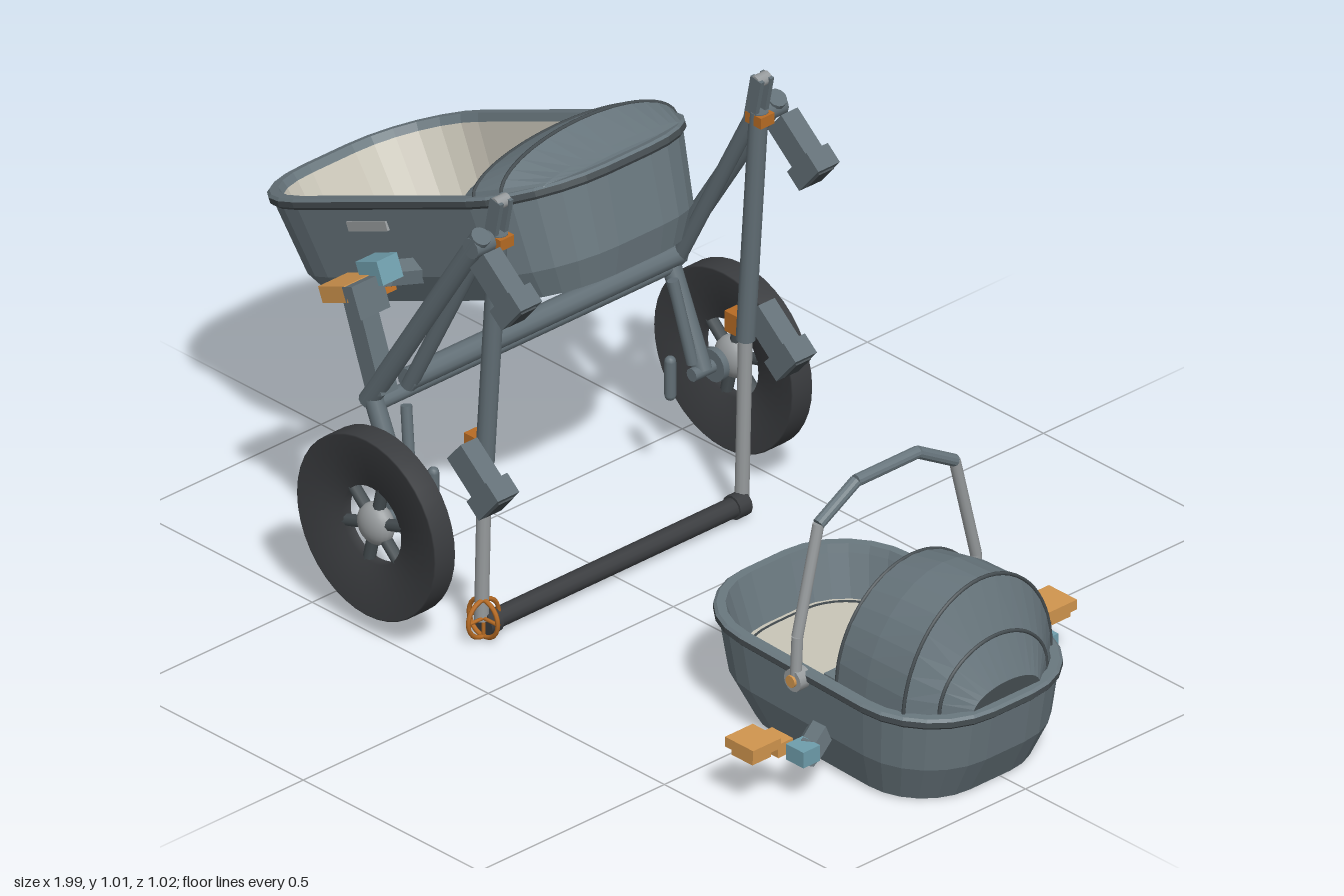
import * as THREE from 'three';

const mat = (name, color, extra = {}) => Object.assign(new THREE.MeshStandardMaterial({ color, ...extra }), { name });
const V = (x, y, z) => new THREE.Vector3(x, y, z);

export function createModel() {
  const flat = { flatShading: true };
  const slate = mat('slate fabric', 0x69777e, flat);
  const hoodMat = mat('hood slate', 0x68767d, { flatShading: true, side: THREE.DoubleSide });
  const frame = mat('frame slate', 0x626f76);
  const dark = mat('dark trim', 0x464e52);
  const cream = mat('cream lining', 0xc8c4b7, flat);
  const rubber = mat('rubber', 0x3a3c3f);
  const metal = mat('grey metal', 0x989c9e);
  const orange = mat('orange fittings', 0xd1954e);
  const copper = mat('copper fittings', 0xb86c24);
  const teal = mat('teal clips', 0x6f9eac);

  const model = new THREE.Group();
  model.name = 'stroller with carrier';

  const add = (parent, geo, material, name) => {
    const m = new THREE.Mesh(geo, material);
    m.name = name;
    parent.add(m);
    return m;
  };
  const rod = (parent, a, b, r, material, name, sides = 12) => {
    const d = b.clone().sub(a);
    const m = add(parent, new THREE.CylinderGeometry(r, r, d.length(), sides), material, name);
    m.position.copy(a).addScaledVector(d, 0.5);
    m.quaternion.setFromUnitVectors(V(0, 1, 0), d.normalize());
    return m;
  };
  const box = (parent, size, pos, material, name, rz = 0) => {
    const m = add(parent, new THREE.BoxGeometry(...size), material, name);
    m.position.set(...pos);
    m.rotation.z = rz;
    return m;
  };
  const surface = (tris) => {
    const g = new THREE.BufferGeometry().setFromPoints(tris);
    g.computeVertexNormals();
    return g;
  };

  // Rounded-rectangle outline, counterclockwise from above
  const outline = ([x0, x1, hz, r, y]) => {
    const pts = [];
    for (let c = 0; c < 4; c++) {
      const cx = c === 0 || c === 3 ? x1 - r : x0 + r, cz = c < 2 ? -(hz - r) : hz - r;
      for (let k = 0; k <= 6; k++) {
        const a = (c + k / 6) * Math.PI / 2;
        pts.push(V(cx + r * Math.cos(a), y, cz - r * Math.sin(a)));
      }
    }
    return pts;
  };
  // Skin between outlines, optionally closing the first (downward) or last (upward)
  const shell = (rings, capFirst, capLast) => {
    const R = rings.map(outline), t = [], n = R[0].length;
    for (let i = 0; i < R.length - 1; i++) for (let j = 0; j < n; j++) {
      const k = (j + 1) % n, a = R[i][j], b = R[i][k], c = R[i + 1][k], d = R[i + 1][j];
      t.push(a, b, c, a, c, d);
    }
    const last = R[R.length - 1];
    for (let j = 1; j < n - 1; j++) {
      if (capFirst) t.push(R[0][0], R[0][j + 1], R[0][j]);
      if (capLast) t.push(last[0], last[j], last[j + 1]);
    }
    return surface(t);
  };
  // Bassinet tub: rings are [x0, x1, halfWidth, cornerRadius, y]
  const tub = (parent, bottom, knee, rim, floor, wallMat) => {
    const inset = ([x0, x1, h, r, y], d, dy) => [x0 + d, x1 - d, h - d, r - d, y + dy];
    const lip = inset(rim, 0.024, -0.012);
    add(parent, shell([bottom, knee, rim], true), slate, 'shell');
    add(parent, shell([inset(rim, 0, -0.018), inset(rim, -0.006, -0.012), inset(rim, -0.006, 0)]), dark, 'rim edge');
    add(parent, shell([inset(rim, -0.006, 0), inset(rim, 0, 0.005), inset(rim, 0.018, 0.005), lip]), slate, 'rim');
    add(parent, shell([lip, floor]), wallMat, 'inner wall');
    add(parent, shell([floor], false, true), cream, 'mattress');
    const seam = new THREE.CatmullRomCurve3(outline(inset(floor, 0.012, 0.001)), true);
    add(parent, new THREE.TubeGeometry(seam, 80, 0.003, 4, true), dark, 'mattress seam');
  };

  // Hood: half-ellipse arches given as [x, baseY, halfWidth, height]
  const arch = ([x, y, hw, h]) => Array.from({ length: 17 }, (_, i) => {
    const a = i / 16 * Math.PI;
    return V(x, y + h * Math.sin(a), hw * Math.cos(a));
  });
  const hood = (parent, sections, trims, capMat) => {
    const R = sections.map(arch), t = [], cap = [];
    for (let i = 0; i < R.length - 1; i++) for (let j = 0; j < 16; j++) {
      const a = R[i][j], b = R[i + 1][j], c = R[i + 1][j + 1], d = R[i][j + 1];
      t.push(a, b, c, a, c, d);
    }
    const e = R[R.length - 1];
    for (let j = 1; j < 16; j++) cap.push(e[0], e[j + 1], e[j]);
    add(parent, surface(t), hoodMat, 'hood fabric');
    add(parent, surface(cap), capMat, 'hood back');
    for (const i of trims) add(parent, new THREE.TubeGeometry(new THREE.CatmullRomCurve3(R[i]), 32, 0.004, 6), dark, 'hood rib');
  };

  // Large tilted bassinet
  const large = new THREE.Group();
  large.name = 'large bassinet';
  large.position.set(-0.99, 0.608, 0);
  large.rotation.z = 0.391;
  model.add(large);
  tub(large, [0.08, 0.87, 0.21, 0.15, -0.225], [0.035, 0.905, 0.24, 0.18, -0.165], [0, 0.93, 0.258, 0.2, 0],
    [0.06, 0.88, 0.216, 0.16, -0.165], cream);
  hood(large, [[0.71, 0, 0.246, 0.035], [0.74, 0, 0.248, 0.064], [0.812, 0, 0.236, 0.076], [0.885, 0, 0.19, 0.02],
    [0.902, 0, 0.15, 0.008]], [1, 2], hoodMat);
  for (const s of [1, -1]) {
    box(large, [0.12, 0.02, 0.009], [0.4, -0.053, s * 0.253], metal, 'side grip');
    box(large, [0.08, 0.012, 0.008], [0.5, -0.02, s * 0.232], dark, 'hinge strip');
  }

  // Small carrier
  const small = new THREE.Group();
  small.name = 'small carrier';
  small.position.set(0.286, 0.232, 0.027);
  small.rotation.z = -0.037;
  model.add(small);
  tub(small, [0.1, 0.65, 0.195, 0.14, -0.205], [0.03, 0.69, 0.222, 0.17, -0.12], [0, 0.705, 0.232, 0.18, 0],
    [0.055, 0.66, 0.188, 0.14, -0.1], slate);
  hood(small, [[0.412, -0.01, 0.195, 0.213], [0.5, -0.01, 0.202, 0.235], [0.605, -0.01, 0.2, 0.245],
    [0.65, 0, 0.145, 0.125], [0.69, 0, 0.09, 0.04]], [0, 2, 3], dark);
  box(small, [0.06, 0.008, 0.36], [0.39, -0.025, 0], slate, 'hood apron');
  box(small, [0.04, 0.05, 0.05], [0.3, -0.065, 0], orange, 'harness buckle');
  for (const s of [1, -1]) rod(small, V(0.3, -0.05, s * 0.015), V(0.38, 0.0, s * 0.055), 0.01, orange, 'harness strap', 6);

  // Carrying handle
  const P = (y, z) => V(0.634, y, 0.027 + z);
  for (const s of [1, -1]) {
    rod(model, P(0.2, s * 0.246), P(0.3, s * 0.241), 0.012, metal, 'handle side');
    rod(model, P(0.3, s * 0.241), P(0.53, s * 0.184), 0.012, metal, 'handle side');
    rod(model, P(0.53, s * 0.184), P(0.588, s * 0.083), 0.013, slate, 'handle shoulder');
    rod(model, P(0.205, s * 0.225), P(0.205, s * 0.255), 0.024, metal, 'handle pivot');
    rod(model, P(0.205, s * 0.255), P(0.205, s * 0.261), 0.013, orange, 'pivot cap');
  }
  rod(model, P(0.588, -0.083), P(0.588, 0.083), 0.013, slate, 'handle grip');

  for (const s of [1, -1]) {
    // Carrier clips
    const z = (d) => 0.027 + s * d;
    rod(model, V(0.66, 0.085, z(0.2)), V(0.735, 0.105, z(0.31)), 0.03, slate, 'carrier clip arm', 6);
    box(model, [0.05, 0.035, 0.045], [0.735, 0.112, z(0.322)], teal, 'carrier clip');
    box(model, [0.06, 0.03, 0.04], [0.68, 0.12, z(0.345)], orange, 'carrier latch');
    box(model, [0.08, 0.022, 0.075], [0.675, 0.14, z(0.4)], orange, 'carrier tab');
    box(model, [0.06, 0.02, 0.05], [0.675, 0.122, z(0.405)], orange, 'carrier tab base');

    // Bassinet mounts
    rod(model, V(-0.49, 0.64, s * 0.21), V(-0.475, 0.685, s * 0.33), 0.03, slate, 'bassinet arm', 6);
    box(model, [0.065, 0.05, 0.055], [-0.475, 0.70, s * 0.342], teal, 'bassinet clip', 0.39);
    box(model, [0.06, 0.03, 0.035], [-0.5, 0.645, s * 0.32], copper, 'bassinet latch', 0.39);
    box(model, [0.08, 0.035, 0.08], [-0.508, 0.665, s * 0.395], orange, 'bassinet tab', 0.39);
    box(model, [0.03, 0.07, 0.08], [-0.457, 0.665, s * 0.395], frame, 'tab bracket', 0.39);
    box(model, [0.045, 0.2, 0.045], [-0.45, 0.56, s * 0.39], frame, 'mount post', 0.35);

    // Frame legs
    const p = (x, y, d) => V(x, y, s * d);
    rod(model, p(-0.125, 0.94, 0.4), p(-0.445, 0.44, 0.4), 0.021, frame, 'rear leg');
    rod(model, p(-0.15, 0.91, 0.362), p(-0.37, 0.49, 0.362), 0.016, frame, 'folding strut');
    rod(model, p(-0.127, 0.93, 0.352), p(-0.165, 0.4, 0.352), 0.02, frame, 'front leg');
    rod(model, p(-0.165, 0.42, 0.352), p(-0.175, 0.04, 0.352), 0.015, metal, 'telescopic leg');
    for (const d of [-1, 1]) box(model, [0.03, 0.11, 0.01], [-0.128, 0.955, s * 0.352 + d * 0.013], frame, 'fork prong', -0.2);
    rod(model, p(-0.121, 1.0, 0.335), p(-0.121, 1.0, 0.369), 0.014, metal, 'fork pin');
    box(model, [0.045, 0.024, 0.037], [-0.124, 0.915, s * 0.352], copper, 'fold latch');
    rod(model, p(-0.135, 0.915, 0.36), p(-0.135, 0.915, 0.42), 0.022, frame, 'top joint');

    // Accessory sockets
    for (const [x, y] of [[-0.055, 0.85], [-0.12, 0.395]]) {
      const g = new THREE.Group();
      g.name = 'accessory socket';
      g.position.set(x, y, s * 0.402);
      g.rotation.z = -0.7;
      model.add(g);
      box(g, [0.11, 0.06, 0.045], [-0.02, 0, 0], frame, 'socket body');
      box(g, [0.045, 0.085, 0.058], [0.04, 0, 0], frame, 'socket collar');
      box(g, [0.006, 0.055, 0.04], [0.063, 0, 0], dark, 'socket opening');
    }
    box(model, [0.04, 0.045, 0.034], [-0.187, 0.43, s * 0.352], copper, 'leg lock');

    // Wheel suspension
    rod(model, p(-0.435, 0.46, 0.4), p(-0.337, 0.24, 0.4), 0.02, frame, 'wheel arm');
    rod(model, p(-0.38, 0.44, 0.36), p(-0.345, 0.26, 0.38), 0.012, frame, 'damper');
    rod(model, p(-0.337, 0.24, 0.37), p(-0.337, 0.24, 0.5), 0.014, frame, 'axle stub');
    rod(model, p(-0.337, 0.24, 0.425), p(-0.337, 0.24, 0.44), 0.035, frame, 'brake disc', 16);
    const capsule = add(model, new THREE.CapsuleGeometry(0.012, 0.075, 4, 10), frame, 'brake housing');
    capsule.position.set(-0.345, 0.25, s * 0.32);

    // Wheel: square-edged disc, dished towards the hub
    const wheel = new THREE.Group();
    wheel.name = 'wheel';
    wheel.position.set(-0.337, 0.24, s * 0.4825);
    model.add(wheel);
    const prof = [[0.084, -0.012], [0.194, -0.028], [0.197, -0.026], [0.197, 0.026], [0.194, 0.028], [0.084, 0.012], [0.084, -0.012]];
    add(wheel, new THREE.LatheGeometry(prof.map(([r, y]) => new THREE.Vector2(r, y)), 40), rubber, 'tyre').rotation.x = Math.PI / 2;
    for (let i = 0; i < 6; i++) {
      const a = i * Math.PI / 3 + 0.3;
      rod(wheel, V(0, 0, 0), V(0.088 * Math.cos(a), 0.088 * Math.sin(a), 0), 0.013, dark, 'spoke', 8);
    }
    add(wheel, new THREE.SphereGeometry(0.045, 20, 14), metal, 'hub').scale.z = 0.65;
    rod(model, p(-0.17, 0.03, 0.32), p(-0.17, 0.03, 0.352), 0.026, rubber, 'axle end');
  }

  // Cross members
  rod(model, V(-0.37, 0.505, -0.37), V(-0.37, 0.505, 0.37), 0.024, frame, 'cross tube');
  rod(model, V(-0.425, 0.44, -0.4), V(-0.425, 0.44, 0.4), 0.016, frame, 'lower cross tube');
  rod(model, V(-0.17, 0.03, -0.34), V(-0.17, 0.03, 0.34), 0.021, rubber, 'ground bar');

  // Ringed caster on one side
  const caster = new THREE.Group();
  caster.name = 'ring caster';
  caster.position.set(-0.165, 0.048, 0.356);
  model.add(caster);
  for (const ry of [0, Math.PI / 2]) {
    add(caster, new THREE.TorusGeometry(0.041, 0.005, 6, 24), copper, 'caster ring').rotation.y = ry;
  }
  for (const d of [V(0.041, 0, 0), V(0, 0.041, 0), V(0, 0, 0.041)]) rod(caster, d.clone().negate(), d, 0.004, copper, 'caster spoke', 6);
  return model;
}
